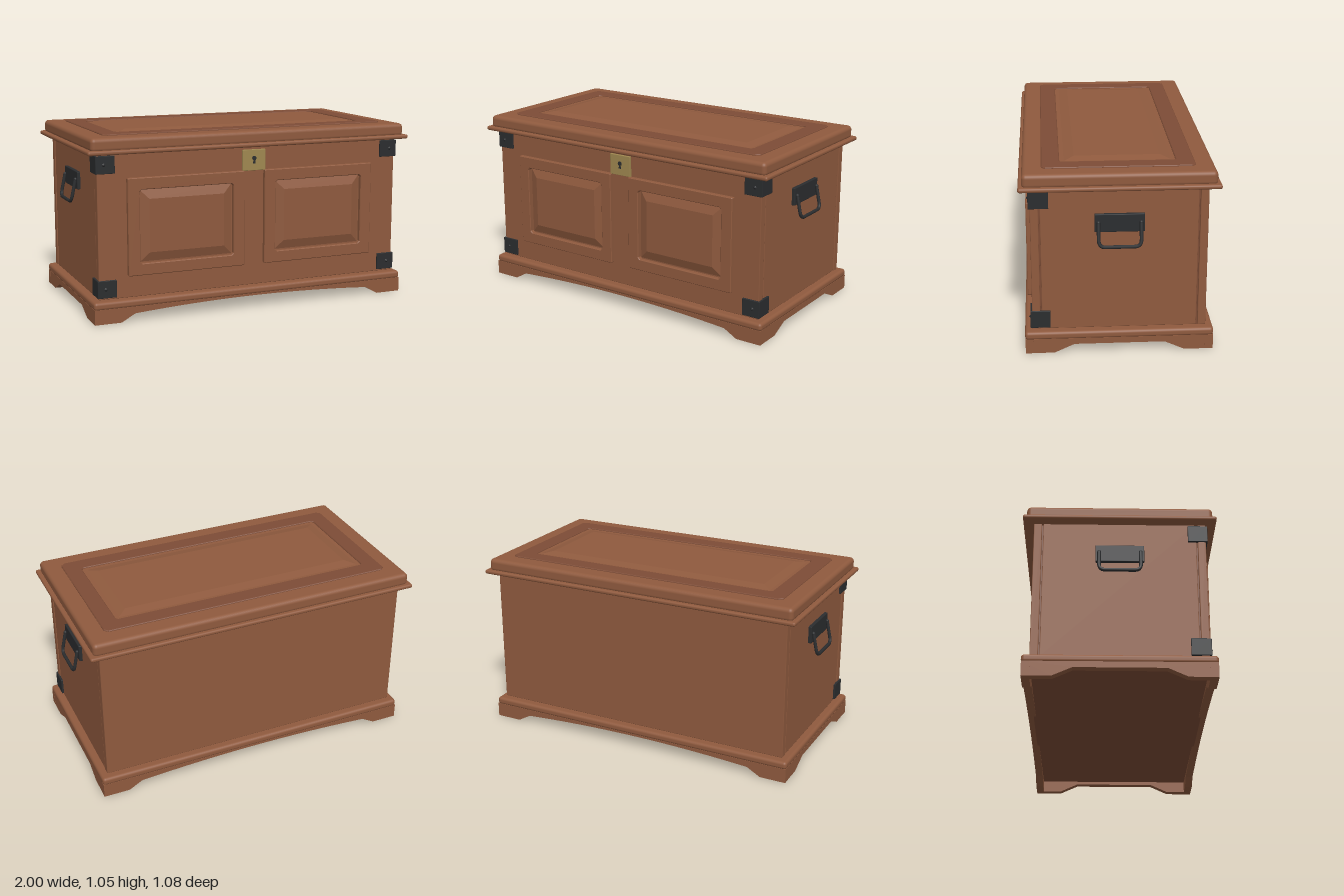
import * as THREE from 'three';
import { RoundedBoxGeometry } from 'three/addons/geometries/RoundedBoxGeometry.js';

const wood = new THREE.MeshStandardMaterial({ color: 0x8f5a3e });
const darkWood = new THREE.MeshStandardMaterial({ color: 0x7d4c36 });
const iron = new THREE.MeshStandardMaterial({ color: 0x2b2d2f });
const brass = new THREE.MeshStandardMaterial({ color: 0xa08850 });

function add(parent, name, geometry, material, x = 0, y = 0, z = 0) {
  const mesh = new THREE.Mesh(geometry, material);
  mesh.name = name;
  mesh.position.set(x, y, z);
  parent.add(mesh);
  return mesh;
}

// Box given by its limits, with softened edges
function board(parent, name, material, [x0, x1], [y0, y1], [z0, z1], r = 0.004) {
  const g = new RoundedBoxGeometry(x1 - x0, y1 - y0, z1 - z0, r > 0.008 ? 4 : 1, r);
  return add(parent, name, g, material, (x0 + x1) / 2, (y0 + y1) / 2, (z0 + z1) / 2);
}

// Rectangle with clipped corners
function clippedRect(w, h, c, Type = THREE.Shape) {
  const a = w / 2, b = h / 2;
  return new Type([
    [-a + c, -b], [a - c, -b], [a, -b + c], [a, b - c],
    [a - c, b], [-a + c, b], [-a, b - c], [-a, -b + c],
  ].map(([x, y]) => new THREE.Vector2(x, y)));
}

// Flat frame around an opening, facing +z, with its back at z = 0
function frameGeometry(w, h, holeW, holeH, depth, clip) {
  const bevel = 0.004;
  const shape = clippedRect(w, h, clip);
  shape.holes.push(clippedRect(holeW, holeH, 0.012, THREE.Path));
  return new THREE.ExtrudeGeometry(shape, {
    depth: depth - bevel, bevelEnabled: true, bevelThickness: bevel,
    bevelSize: bevel, bevelOffset: -bevel, bevelSegments: 1,
  });
}

// Raised field: a box whose front face is drawn in by a margin
function fieldGeometry(w, h, depth, margin) {
  const g = new THREE.BoxGeometry(w, h, depth).toNonIndexed();
  const p = g.attributes.position;
  for (let i = 0; i < p.count; i++) {
    if (p.getZ(i) < 0) continue;
    p.setX(i, p.getX(i) - Math.sign(p.getX(i)) * margin);
    p.setY(i, p.getY(i) - Math.sign(p.getY(i)) * margin);
  }
  g.computeVertexNormals();
  return g.translate(0, 0, depth / 2);
}

// Plinth board with feet at both ends and a cut-out between them
function plinthGeometry(half, footIn, cutIn, cutY, midY, depth) {
  const s = new THREE.Shape();
  s.moveTo(-half, 0);
  s.lineTo(-footIn, 0);
  s.lineTo(-cutIn, cutY);
  if (midY > cutY) s.quadraticCurveTo(0, 2 * midY - cutY, cutIn, cutY);
  else s.lineTo(cutIn, cutY);
  s.lineTo(footIn, 0);
  s.lineTo(half, 0);
  s.lineTo(half, 0.085);
  s.lineTo(-half, 0.085);
  return new THREE.ExtrudeGeometry(s, { depth, bevelEnabled: false, curveSegments: 20 });
}

function buildBase() {
  const base = new THREE.Group();
  base.name = 'base';
  const t = 0.045;
  for (const s of [1, -1]) {
    const turn = s > 0 ? 0 : Math.PI;
    const long = add(base, s > 0 ? 'frontPlinth' : 'backPlinth',
      plinthGeometry(0.975, 0.82, 0.74, 0.045, 0.073, t), wood, 0, 0, s * (0.52 - t));
    long.rotation.y = turn;
    const short = add(base, s > 0 ? 'leftPlinth' : 'rightPlinth',
      plinthGeometry(0.518, 0.36, 0.25, 0.05, 0.05, t), wood, s * (0.974 - t), 0, 0);
    short.rotation.y = s * Math.PI / 2;
  }
  board(base, 'baseMoulding', wood, [-0.977, 0.977], [0.079, 0.126], [-0.522, 0.522], 0.018);
  board(base, 'bottomPanel', darkWood, [-0.94, 0.94], [0.07, 0.1], [-0.49, 0.49]);
  return base;
}

function buildBody() {
  const body = new THREE.Group();
  body.name = 'body';
  board(body, 'core', darkWood, [-0.922, 0.922], [0.11, 0.96], [-0.45, 0.45]);
  board(body, 'frontBoard', wood, [-0.937, 0.937], [0.13, 0.955], [0.435, 0.48]);
  board(body, 'backBoard', wood, [-0.937, 0.937], [0.13, 0.955], [-0.48, -0.435]);
  for (const s of [1, -1]) {
    const [a, b] = s > 0 ? [0.9, 0.934] : [-0.934, -0.9];
    board(body, 'sideBoard', wood, [a, b], [0.13, 0.955], [-0.427, 0.427]);
    // Framed panel on the front
    add(body, 'panelFrame', frameGeometry(0.705, 0.555, 0.565, 0.42, 0.026, 0.004),
      wood, s * 0.416, 0.533, 0.479);
    add(body, 'raisedPanel', fieldGeometry(0.56, 0.415, 0.02, 0.055),
      wood, s * 0.416, 0.535, 0.479);
  }
  return body;
}

function buildLid() {
  const lid = new THREE.Group();
  lid.name = 'lid';
  board(lid, 'lidLip', wood, [-1, 1], [0.949, 0.974], [-0.54, 0.54], 0.011);
  board(lid, 'lidSlab', wood, [-0.977, 0.977], [0.962, 1.041], [-0.52, 0.52], 0.024);
  const frame = add(lid, 'lidFrame', frameGeometry(1.75, 0.83, 1.55, 0.63, 0.011, 0.022),
    darkWood, 0, 1.037, 0);
  const field = add(lid, 'lidPanel', fieldGeometry(1.54, 0.62, 0.016, 0.075), wood, 0, 1.037, 0);
  frame.rotation.x = field.rotation.x = -Math.PI / 2;
  return lid;
}

// Angle plate wrapped round a front corner
function addBracket(parent, s, y) {
  const g = new THREE.Group();
  g.name = 'cornerBracket';
  const span = (a, b) => (s > 0 ? [a, b] : [-b, -a]);
  board(g, 'bracketFront', iron, span(0.835, 0.946), [y - 0.05, y + 0.05], [0.47, 0.49], 0.003);
  board(g, 'bracketSide', iron, span(0.928, 0.946), [y - 0.05, y + 0.05], [0.38, 0.49], 0.003);
  const nail = add(g, 'nail', new THREE.ConeGeometry(0.01, 0.008, 10), iron, s * 0.9, y, 0.494);
  nail.rotation.x = Math.PI / 2;
  parent.add(g);
}

// Back plate with a hanging bail that leans outward
function addHandle(parent, s) {
  const g = new THREE.Group();
  g.name = 'sideHandle';
  const plate = s > 0 ? [0.925, 0.953] : [-0.953, -0.925];
  board(g, 'handlePlate', iron, plate, [0.703, 0.805], [-0.135, 0.135], 0.004);
  const at = (y, z) => new THREE.Vector3(s * (0.958 + (0.76 - y) * 0.215), y, z);
  const path = new THREE.CurvePath();
  path.add(new THREE.LineCurve3(at(0.76, -0.115), at(0.67, -0.115)));
  path.add(new THREE.QuadraticBezierCurve3(at(0.67, -0.115), at(0.63, -0.115), at(0.63, -0.08)));
  path.add(new THREE.LineCurve3(at(0.63, -0.08), at(0.63, 0.08)));
  path.add(new THREE.QuadraticBezierCurve3(at(0.63, 0.08), at(0.63, 0.115), at(0.67, 0.115)));
  path.add(new THREE.LineCurve3(at(0.67, 0.115), at(0.76, 0.115)));
  add(g, 'bail', new THREE.TubeGeometry(path, 60, 0.01, 8), iron);
  for (const z of [-0.115, 0.115]) {
    add(g, 'bailEnd', new THREE.SphereGeometry(0.0105, 10, 8), iron, s * 0.958, 0.76, z);
  }
  parent.add(g);
}

function buildLock() {
  const lock = new THREE.Group();
  lock.name = 'lock';
  board(lock, 'lockPlate', brass, [-0.072, 0.072], [0.808, 0.93], [0.47, 0.492], 0.003);
  const hole = add(lock, 'keyholeTop', new THREE.CylinderGeometry(0.013, 0.013, 0.006, 16), iron, 0, 0.88, 0.493);
  hole.rotation.x = Math.PI / 2;
  const slot = new THREE.Shape([[-0.004, 0.88], [-0.007, 0.85], [0.007, 0.85], [0.004, 0.88]]
    .map(([x, y]) => new THREE.Vector2(x, y)));
  add(lock, 'keyholeSlot', new THREE.ExtrudeGeometry(slot, { depth: 0.006, bevelEnabled: false }), iron, 0, 0, 0.49);
  return lock;
}

export function createModel() {
  const chest = new THREE.Group();
  chest.name = 'chest';
  chest.add(buildBase(), buildBody(), buildLid(), buildLock());
  for (const s of [1, -1]) {
    addBracket(chest, s, 0.19);
    addBracket(chest, s, 0.89);
    addHandle(chest, s);
  }
  return chest;
}
